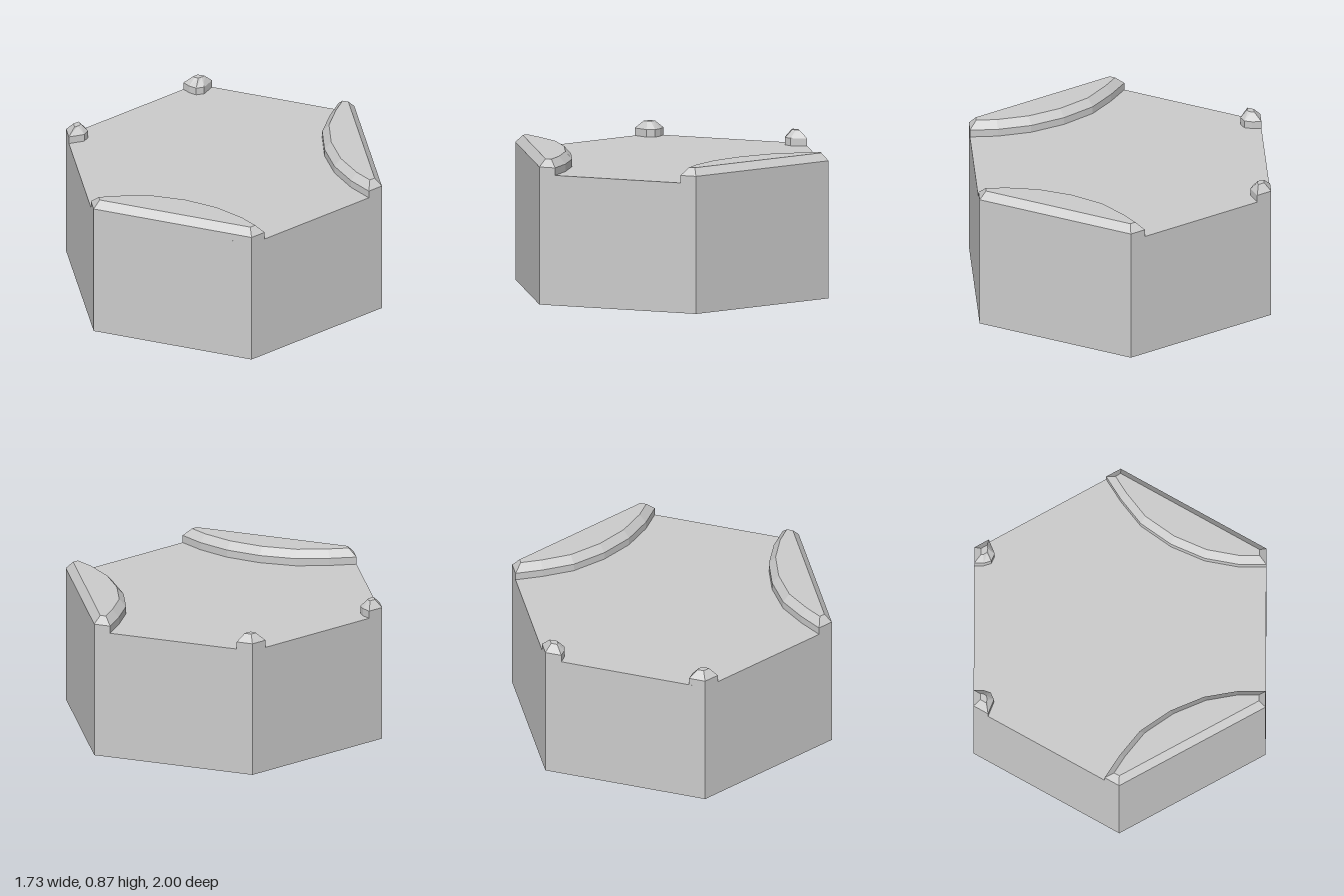
import * as THREE from 'three';

const MATERIAL = new THREE.MeshStandardMaterial({ color: 0xcccccc, flatShading: true });
const FLOOR = 0.78, SHOULDER = 0.825, TOP = 0.87, BEVEL = 0.04;

// Shift every edge of a closed [x, z] outline inward and meet the edges again
function inset(points, distance) {
  const v = points.map(([x, z]) => new THREE.Vector2(x, z));
  const sign = THREE.ShapeUtils.area(v) > 0 ? 1 : -1;
  return v.map((p, i) => {
    const before = v[(i + v.length - 1) % v.length], after = v[(i + 1) % v.length];
    const a = p.clone().sub(before).normalize(), b = after.clone().sub(p).normalize();
    const n = new THREE.Vector2(-a.y - b.y, a.x + b.x).multiplyScalar(sign);
    n.multiplyScalar(distance / (1 + a.dot(b)));
    return [p.x + n.x, p.y + n.y];
  });
}

// Raised block: vertical wall, sloping bevel and flat cap
function raisedBlock(name, outline, capOutline, mirrorZ) {
  const flip = ([x, z]) => new THREE.Vector2(x, mirrorZ ? z : -z);
  const low = outline.map(flip), cap = capOutline.map(flip);
  if (THREE.ShapeUtils.area(low) < 0) {
    low.reverse();
    cap.reverse();
  }
  const n = low.length, positions = [], index = [];
  const addRing = (ring, y) => ring.forEach((p) => positions.push(p.x, y, -p.y));
  addRing(low, FLOOR);
  addRing(low, SHOULDER);
  addRing(cap, TOP);
  for (let ring = 0; ring < 2; ring++) {
    for (let i = 0; i < n; i++) {
      const a = ring * n + i, b = ring * n + (i + 1) % n;
      index.push(a, b, b + n, a, b + n, a + n);
    }
  }
  for (const face of THREE.ShapeUtils.triangulateShape(cap, [])) {
    index.push(...face.map((i) => i + 2 * n));
  }
  const geometry = new THREE.BufferGeometry();
  geometry.setAttribute('position', new THREE.Float32BufferAttribute(positions, 3));
  geometry.setIndex(index);
  geometry.computeVertexNormals();
  const mesh = new THREE.Mesh(geometry, MATERIAL);
  mesh.name = name;
  return mesh;
}

export function createModel() {
  const group = new THREE.Group();
  group.name = 'hexTile';

  // Hexagonal body with corners pointing front and back
  const body = new THREE.Mesh(new THREE.CylinderGeometry(1, 1, FLOOR, 6), MATERIAL);
  body.name = 'hexBody';
  body.position.y = FLOOR / 2;
  group.add(body);

  // Curved curb along one hexagon side, inner edge is an arc
  const curb = [
    [0, 1], [0.866, 0.5], [0.866, 0.4], [0.7, 0.4], [0.5, 0.437],
    [0.3, 0.525], [0.12, 0.655], [0, 0.81], [-0.087, 0.95],
  ];
  const curbCap = inset(curb, BEVEL);

  // Small corner post
  const post = [
    [-0.866, 0.4], [-0.866, 0.5], [-0.78, 0.55], [-0.745, 0.46], [-0.765, 0.415], [-0.81, 0.4],
  ];
  const postCap = [
    [-0.826, 0.44], [-0.826, 0.477], [-0.79, 0.498], [-0.786, 0.475], [-0.79, 0.452], [-0.81, 0.44],
  ];

  for (const [side, mirrored] of [['front', false], ['back', true]]) {
    group.add(raisedBlock(side + 'Curb', curb, curbCap, mirrored));
    group.add(raisedBlock(side + 'CornerPost', post, postCap, mirrored));
  }
  return group;
}
